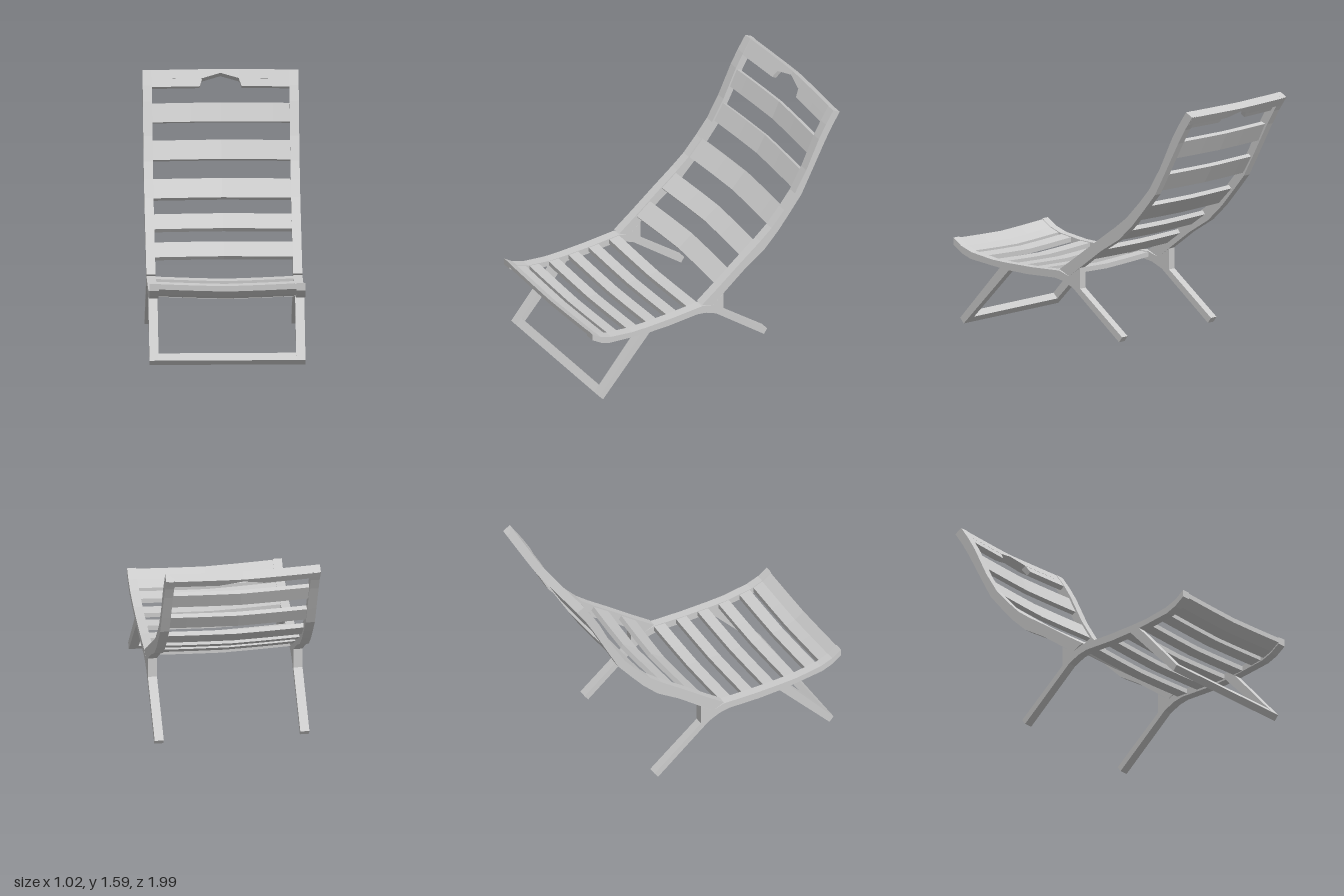
import * as THREE from 'three';

const mat = new THREE.MeshStandardMaterial({ color: 0xcccccc, flatShading: true });
const INNER = 0.45, OUTER = 0.51;

// Side curves as [z, y] points
const backFront = [[0.13, 0.44], [0, 0.53], [-0.18, 0.66], [-0.33, 0.765], [-0.42, 0.835], [-0.52, 0.94],
  [-0.605, 1.04], [-0.695, 1.19], [-0.795, 1.4], [-0.85, 1.495], [-0.91, 1.585]];
const backRear = [[-0.96, 1.555], [-0.9, 1.465], [-0.845, 1.37], [-0.735, 1.16], [-0.655, 1.01],
  [-0.56, 0.895], [-0.47, 0.79], [-0.36, 0.685], [-0.205, 0.59], [0.05, 0.4]];
const seatTop = [[1, 0.56], [0.935, 0.512], [0.85, 0.478], [0.68, 0.447], [0.56, 0.438], [0.356, 0.43], [0.13, 0.43]];
const seatUnder = [[0.17, 0.38], [0.39, 0.38], [0.55, 0.39], [0.68, 0.407], [0.86, 0.434], [0.93, 0.463], [1, 0.512]];
// Rear leg runs on from the seat rail, with a block up to the backrest
const rearLeg = [[0.05, 0.4], [-0.04, 0.465], [-0.04, 0.327], [-0.385, 0.04], [-0.36, 0.005], [0.02, 0.327], [0.1, 0.365]];
const frontLeg = [[0.61, 0.41], [0.54, 0.395], [0.915, 0], [0.945, 0.035]];

// Value of coordinate b on a polyline where coordinate a equals v
function along(points, a, b, v) {
  for (let i = 0; i < points.length - 1; i++) {
    const p = points[i], q = points[i + 1];
    if ((v - p[a]) * (v - q[a]) <= 0) return p[b] + (q[b] - p[b]) * (v - p[a]) / (q[a] - p[a]);
  }
  return points[points.length - 1][b];
}
const backZ = y => along(backFront, 1, 0, y);
const seatY = z => along(seatTop, 0, 1, z);

// Sag of the slats toward the middle, 0..1
const bow = x => 1 - Math.pow(Math.min(1, Math.abs(x) / 0.48), 1.25);

function add(group, name, geometry) {
  const mesh = new THREE.Mesh(geometry, mat);
  mesh.name = name;
  group.add(mesh);
  return mesh;
}

// Matching left and right pieces cut from a side profile
function sidePair(group, name, profile) {
  const shape = new THREE.Shape(profile.map(p => new THREE.Vector2(p[0], p[1])));
  const geometry = new THREE.ExtrudeGeometry(shape, { depth: OUTER - INNER, bevelEnabled: false });
  geometry.rotateY(-Math.PI / 2);
  add(group, name + 'Left', geometry).position.x = OUTER;
  add(group, name + 'Right', geometry).position.x = -INNER;
}

// Crosspiece lofted along x; section(x) gives [z, y] corners:
// front low, rear low, rear high, front high
function loft(xs, section) {
  const rings = xs.map(x => section(x).map(([z, y]) => [x, y, z]));
  const out = [], n = rings[0].length;
  const tri = (...corners) => corners.forEach(c => out.push(...c));
  for (let i = 0; i < rings.length - 1; i++) {
    const r = rings[i], s = rings[i + 1];
    for (let j = 0; j < n; j++) {
      const k = (j + 1) % n;
      tri(r[j], r[k], s[k]);
      tri(r[j], s[k], s[j]);
    }
  }
  const first = rings[0], last = rings[rings.length - 1];
  for (let j = 1; j < n - 1; j++) {
    tri(last[0], last[j], last[j + 1]);
    tri(first[0], first[j + 1], first[j]);
  }
  const geometry = new THREE.BufferGeometry();
  geometry.setAttribute('position', new THREE.Float32BufferAttribute(out, 3));
  geometry.computeVertexNormals();
  return geometry;
}

// Section of a backrest board between two heights
function backSection(y0, y1, thickness, recess, x) {
  const shift = -recess - 0.028 * bow(x);
  const z0 = backZ(y0) + shift, z1 = backZ(y1) + shift;
  const len = Math.hypot(z1 - z0, y1 - y0);
  const nz = -(y1 - y0) / len * thickness, ny = (z1 - z0) / len * thickness;
  return [[z0, y0], [z0 + nz, y0 + ny], [z1 + nz, y1 + ny], [z1, y1]];
}

const slatXs = [-0.46, -0.34, -0.2, 0, 0.2, 0.34, 0.46];

export function createModel() {
  const model = new THREE.Group();
  model.name = 'deckChair';

  const backrest = new THREE.Group();
  backrest.name = 'backrest';
  sidePair(backrest, 'backRail', [...backFront, ...backRear]);
  const slats = [[0.525, 0.602], [0.67, 0.747], [0.83, 0.937], [1.045, 1.16], [1.27, 1.385]];
  slats.forEach(([y0, y1], i) =>
    add(backrest, 'backSlat' + (i + 1), loft(slatXs, x => backSection(y0, y1, 0.03, 0.012, x))));

  // Top board: a thick rim, with a thin lip below left open for the hand grip
  const rimXs = [-0.5, -0.3, -0.12, 0, 0.12, 0.3, 0.5];
  add(backrest, 'topRim', loft(rimXs, x =>
    backSection(Math.abs(x) < 0.01 ? 1.562 : 1.532, 1.585, 0.059, 0, x)));
  for (const s of [-1, 1]) {
    const xs = [0.12, 0.137, 0.3, 0.46].map(x => x * s).sort((a, b) => a - b);
    add(backrest, s > 0 ? 'topLipLeft' : 'topLipRight', loft(xs, x =>
      backSection(Math.abs(x) < 0.13 ? 1.531 : 1.485, 1.54, 0.035, 0.001, x)));
  }
  model.add(backrest);

  const seat = new THREE.Group();
  seat.name = 'seat';
  sidePair(seat, 'seatRailAndRearLeg', [...seatTop, ...rearLeg, ...seatUnder]);
  const bands = [[0.13, 0.21], [0.295, 0.372], [0.455, 0.532], [0.61, 0.687], [0.765, 0.842], [0.868, 0.935, 0.998]];
  bands.forEach((zs, i) => add(seat, 'seatSlat' + (i + 1), loft(slatXs, x => {
    const top = zs.map(z => [z, seatY(z) - 0.003 - 0.018 * bow(x)]);
    const under = top.map(([z, y]) => [z, y - 0.032]).reverse();
    return [...under, ...top];
  })));
  model.add(seat);

  const frontFrame = new THREE.Group();
  frontFrame.name = 'frontLegFrame';
  sidePair(frontFrame, 'frontLeg', frontLeg);
  add(frontFrame, 'footBar', loft([-0.46, 0.46], () =>
    [[0.945, 0.035], [0.915, 0], [0.876, 0.041], [0.906, 0.076]]));
  model.add(frontFrame);

  return model;
}
